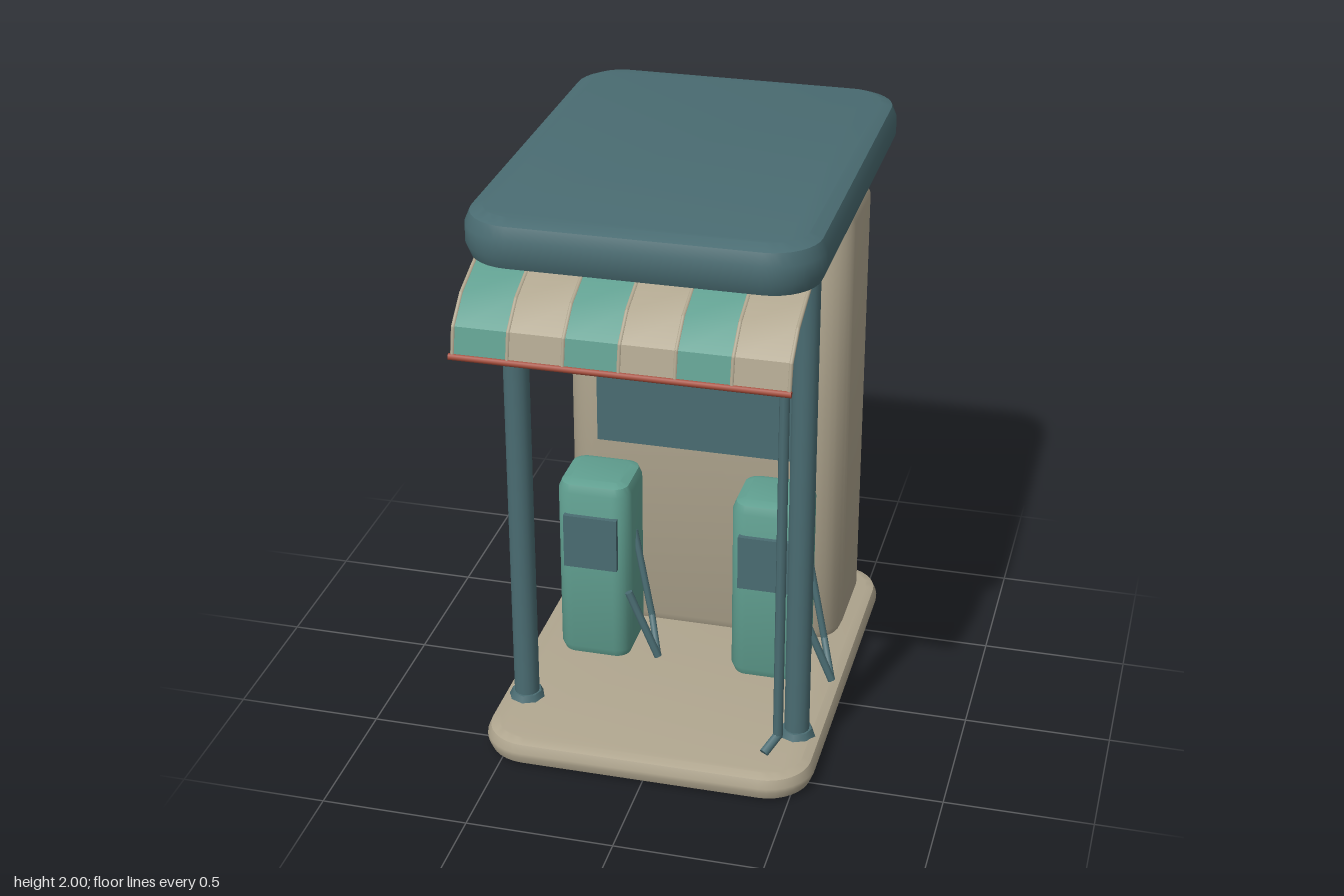
import * as THREE from 'three';
import { toCreasedNormals } from 'three/addons/utils/BufferGeometryUtils.js';

const mat = (name, color) => {
  const m = new THREE.MeshStandardMaterial({ color });
  m.name = name;
  return m;
};

export function createModel() {
  const teal = mat('dark teal', 0x4a6c72);
  const beige = mat('warm beige', 0xb0a68f);
  const green = mat('sea green', 0x609f90);
  const red = mat('brick red', 0xa54c3a);
  const model = new THREE.Group();
  model.name = 'fuelStation';

  const add = (name, geo, material, parent = model) => {
    const m = new THREE.Mesh(geo, material);
    m.name = name;
    parent.add(m);
    return m;
  };

  // Upright block with rounded corners and bevelled rims
  const slab = (x0, x1, y0, y1, z0, z1, r, bevel, segs = 2) => {
    const w = (x1 - x0) / 2 - bevel, d = (z1 - z0) / 2 - bevel;
    const c = Math.max(r - bevel, 0.005);
    const s = new THREE.Shape();
    s.absarc(w - c, d - c, c, 0, Math.PI / 2);
    s.absarc(-w + c, d - c, c, Math.PI / 2, Math.PI);
    s.absarc(-w + c, -d + c, c, Math.PI, Math.PI * 1.5);
    s.absarc(w - c, -d + c, c, Math.PI * 1.5, Math.PI * 2);
    s.closePath();
    const g = new THREE.ExtrudeGeometry(s, {
      depth: y1 - y0 - 2 * bevel, bevelEnabled: true, bevelSize: bevel,
      bevelThickness: bevel, bevelSegments: segs, curveSegments: 4,
    });
    g.rotateX(-Math.PI / 2);
    g.translate((x0 + x1) / 2, y0 + bevel, (z0 + z1) / 2);
    return toCreasedNormals(g, 0.7);
  };

  const box = (x0, x1, y0, y1, z0, z1) =>
    new THREE.BoxGeometry(x1 - x0, y1 - y0, z1 - z0)
      .translate((x0 + x1) / 2, (y0 + y1) / 2, (z0 + z1) / 2);

  // Straight-sided rod between two points
  const rod = (a, b, r, sides = 8) => {
    const p = new THREE.Vector3(...a), q = new THREE.Vector3(...b);
    const dir = q.clone().sub(p);
    const g = new THREE.CylinderGeometry(r, r, dir.length(), sides);
    g.applyQuaternion(new THREE.Quaternion().setFromUnitVectors(
      new THREE.Vector3(0, 1, 0), dir.normalize()));
    const mid = p.add(q).multiplyScalar(0.5);
    return g.translate(mid.x, mid.y, mid.z);
  };
  const chain = (name, pts, r, material, parent) => {
    for (let i = 0; i < pts.length - 1; i++) {
      add(name, rod(pts[i], pts[i + 1], r), material, parent);
      if (i > 0) add(name + 'Joint', new THREE.SphereGeometry(r, 8, 6).translate(...pts[i]), material, parent);
    }
  };

  // Platform, kiosk and canopy roof
  add('platform', slab(-0.58, 0.56, 0, 0.095, -0.81, 0.655, 0.16, 0.04), beige);
  add('kiosk', slab(-0.51, 0.49, 0.08, 1.725, -0.73, -0.233, 0.12, 0.045), beige);
  add('roof', slab(-0.58, 0.56, 1.83, 2, -0.835, 0.675, 0.17, 0.055), teal);
  add('ceilingPanel', box(-0.5, 0.48, 1.822, 1.84, -0.705, 0.56), teal);
  add('kioskWindow', box(-0.385, 0.365, 0.825, 1.25, -0.24, -0.21), teal);

  // Columns with collars, and ceiling lamps
  for (const [cx, lx] of [[-0.489, -0.35], [0.47, 0.33]]) {
    add('column', new THREE.CylinderGeometry(0.043, 0.043, 1.75, 16).translate(cx, 0.965, 0.355), teal);
    add('columnCollar', new THREE.CylinderGeometry(0.052, 0.068, 0.035, 8).translate(cx, 0.1, 0.355), teal);
    add('lampRing', new THREE.CylinderGeometry(0.09, 0.08, 0.025, 20).translate(lx, 1.815, 0.265), teal);
    add('lampLens', new THREE.CylinderGeometry(0.07, 0.07, 0.025, 20).translate(lx, 1.811, 0.265), beige);
  }

  // Drain pipe
  chain('drainPipe', [[0.425, 1.84, 0.453], [0.425, 0.14, 0.453], [0.39, 0.1, 0.51]], 0.017, teal);

  // Striped awning: curved strips separated by ribs
  const profile = [[0.55, 1.842], [0.61, 1.822], [0.72, 1.78], [0.806, 1.705], [0.825, 1.615]];
  const strip = (x0, x1, t) => {
    const s = new THREE.Shape();
    profile.forEach(([z, y], i) => (i ? s.lineTo(z, y) : s.moveTo(z, y)));
    [...profile].reverse().forEach(([z, y]) => s.lineTo(z - t * 0.7, y - t * 0.7));
    s.closePath();
    const g = new THREE.ExtrudeGeometry(s, { depth: x1 - x0, bevelEnabled: false });
    g.rotateY(-Math.PI / 2); // shape x becomes z, depth runs towards -x
    return toCreasedNormals(g.translate(x1, 0, 0), 0.6);
  };
  const left = -0.535, step = 1.05 / 6;
  for (let i = 0; i < 6; i++) {
    const x = left + i * step;
    add('awningStrip', strip(x + 0.006, x + step - 0.004, 0.012), i % 2 ? beige : green);
  }
  for (let i = 0; i < 7; i++) {
    const x = left + i * step;
    chain('awningRib', profile.map(([z, y]) => [x, y - 0.003, z - 0.003]), 0.007, beige);
  }
  add('awningTrim', rod([-0.547, 1.61, 0.823], [0.522, 1.61, 0.823], 0.011), red);

  // Fuel pumps
  for (const cx of [-0.32, 0.3]) {
    const pump = new THREE.Group();
    pump.name = 'fuelPump';
    pump.position.x = cx;
    model.add(pump);
    add('pumpBody', slab(-0.13, 0.13, 0.115, 0.81, -0.145, 0.103, 0.06, 0.04), green, pump);
    add('pumpScreen', box(-0.097, 0.093, 0.49, 0.69, 0.09, 0.12), teal, pump);
    chain('pumpHose', [[0.122, 0.59, -0.015], [0.195, 0.28, 0.03], [0.245, 0.182, 0.138]], 0.012, teal, pump);
    add('pumpNozzle', rod([0.14, 0.425, 0.135], [0.245, 0.182, 0.138], 0.014), teal, pump);
  }

  return model;
}
